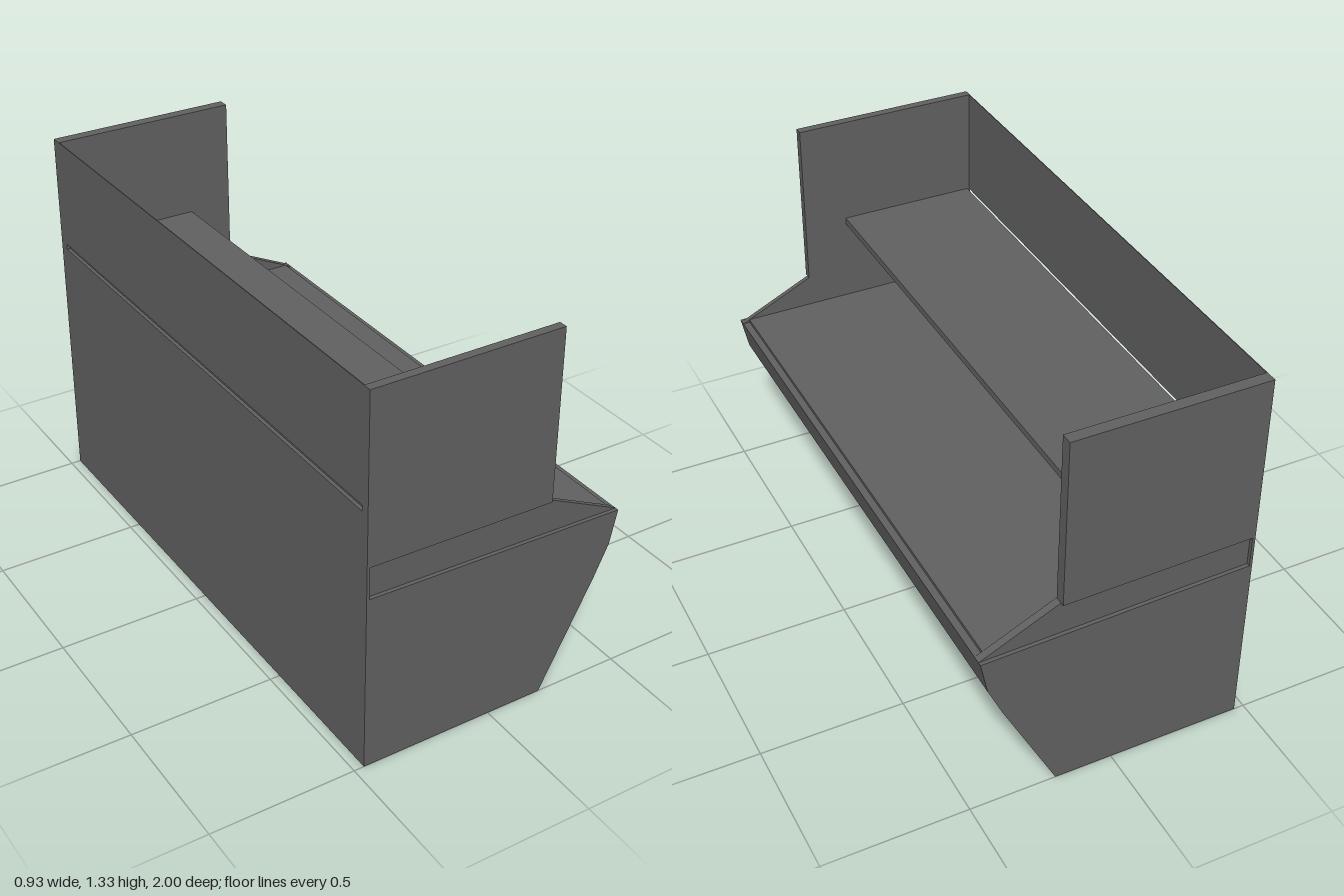
import * as THREE from 'three';

const material = new THREE.MeshStandardMaterial({ color: 0x606060, flatShading: true, side: THREE.DoubleSide });

// Extrudes an x-y outline along z, from z0 to z1
function slab(name, outline, z0, z1) {
  const shape = new THREE.Shape(outline.map(([x, y]) => new THREE.Vector2(x, y)));
  const geometry = new THREE.ExtrudeGeometry(shape, { depth: z1 - z0, bevelEnabled: false });
  geometry.translate(0, 0, z0);
  const mesh = new THREE.Mesh(geometry, material);
  mesh.name = name;
  return mesh;
}

const rect = (x0, x1, y0, y1) => [[x0, y0], [x1, y0], [x1, y1], [x0, y1]];

export function createModel() {
  const group = new THREE.Group();
  group.name = 'counter';
  const back = -0.465;
  const inFront = 0.97, inRear = -0.96;

  // Solid base with flared front
  group.add(slab('base', [
    [back, 0], [0.2, 0], [0.39, 0.375], [0.44, 0.485], [0.465, 0.605], [back, 0.605],
  ], -1, 1));

  // Level worktop laid on the base
  group.add(slab('worktop', rect(back + 0.01, 0.44, 0.6, 0.617), inRear, inFront));

  // Back: wide strip behind the cheeks, then panels below and above the shelf
  group.add(slab('backStrip', rect(back, back + 0.01, 0.605, 0.742), -1, 1));
  group.add(slab('lowerBackPanel', rect(back, back + 0.015, 0.742, 0.922), inRear, inFront));
  group.add(slab('shelf', rect(back + 0.012, 0.04, 0.92, 0.945), inRear, inFront));
  group.add(slab('upperBackPanel', rect(back, back + 0.003, 0.942, 1.33), inRear, inFront));

  // Each end: sloped ledge, recessed cheek and an overhanging upright screen
  const ledge = [[back, 0.605], [0.465, 0.605], [back, 0.63]];
  const cheek = [[back + 0.01, 0.605], [0.465, 0.605], [0.2, 0.73], [back + 0.01, 0.745]];
  const screen = [[back, 0.742], [0.197, 0.73], [0.197, 1.33], [back, 1.33]];
  const ends = [['left', inFront, 0.987, 1], ['right', inRear, -0.987, -1]];
  for (const [side, inner, recess, outer] of ends) {
    const addEnd = (name, outline, z) =>
      group.add(slab(side + name, outline, Math.min(inner, z), Math.max(inner, z)));
    addEnd('Ledge', ledge, outer);
    addEnd('Cheek', cheek, recess);
    addEnd('Screen', screen, outer);
  }

  return group;
}
